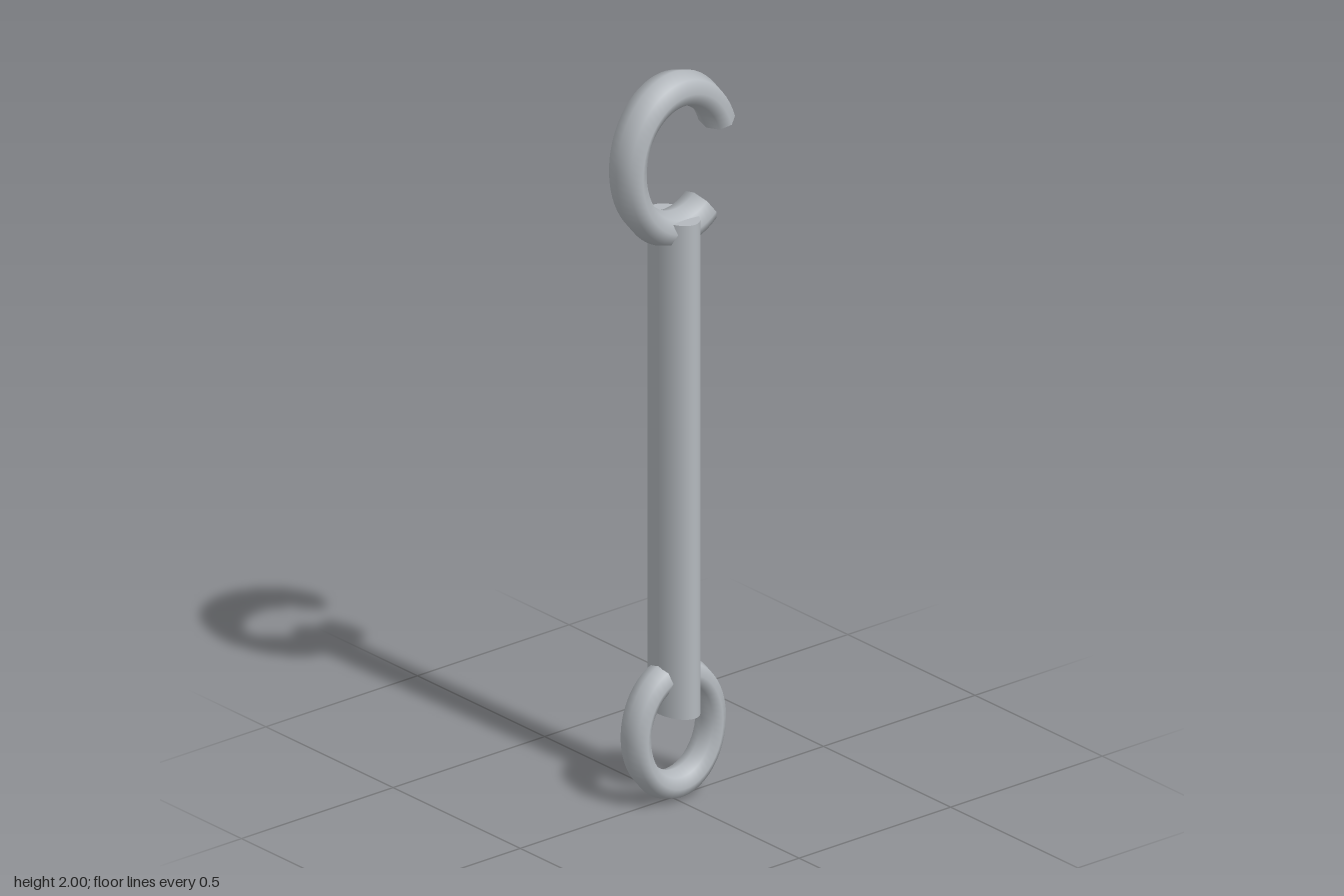
import * as THREE from 'three';

const steel = new THREE.MeshStandardMaterial({ color: 0xb4b9be, side: THREE.DoubleSide });
steel.name = 'steel grey';

const CENTER_X = 0.007;
const rad = THREE.MathUtils.degToRad;

// Oval loop of round stock, narrowed across and thickened in depth; open-ended when arc < 360
function makeLoop(name, x, y, radius, startDeg, arcDeg) {
  const geo = new THREE.TorusGeometry(radius, radius * 0.25, 8, 48, rad(arcDeg));
  geo.rotateZ(rad(startDeg));
  geo.scale(0.8, 1, 1.26);
  const mesh = new THREE.Mesh(geo, steel);
  mesh.name = name;
  mesh.position.set(x, y, 0);
  return mesh;
}

export function createModel() {
  const group = new THREE.Group();
  group.name = 'hookedRod';

  // Flattened shaft joining the two loops
  const bottom = 0.243, top = 1.605;
  const shaftGeo = new THREE.CylinderGeometry(1, 1, top - bottom, 32);
  shaftGeo.scale(0.052, 1, 0.083);
  const shaft = new THREE.Mesh(shaftGeo, steel);
  shaft.name = 'shaft';
  shaft.position.set(CENTER_X, (top + bottom) / 2, 0);
  group.add(shaft);

  // Open hook at the top, closed ring at the bottom
  group.add(makeLoop('topHook', CENTER_X, 1.7625, 0.19, 22, 284));
  group.add(makeLoop('bottomRing', 0.005, 0.193, 0.1544, 0, 360));

  return group;
}
